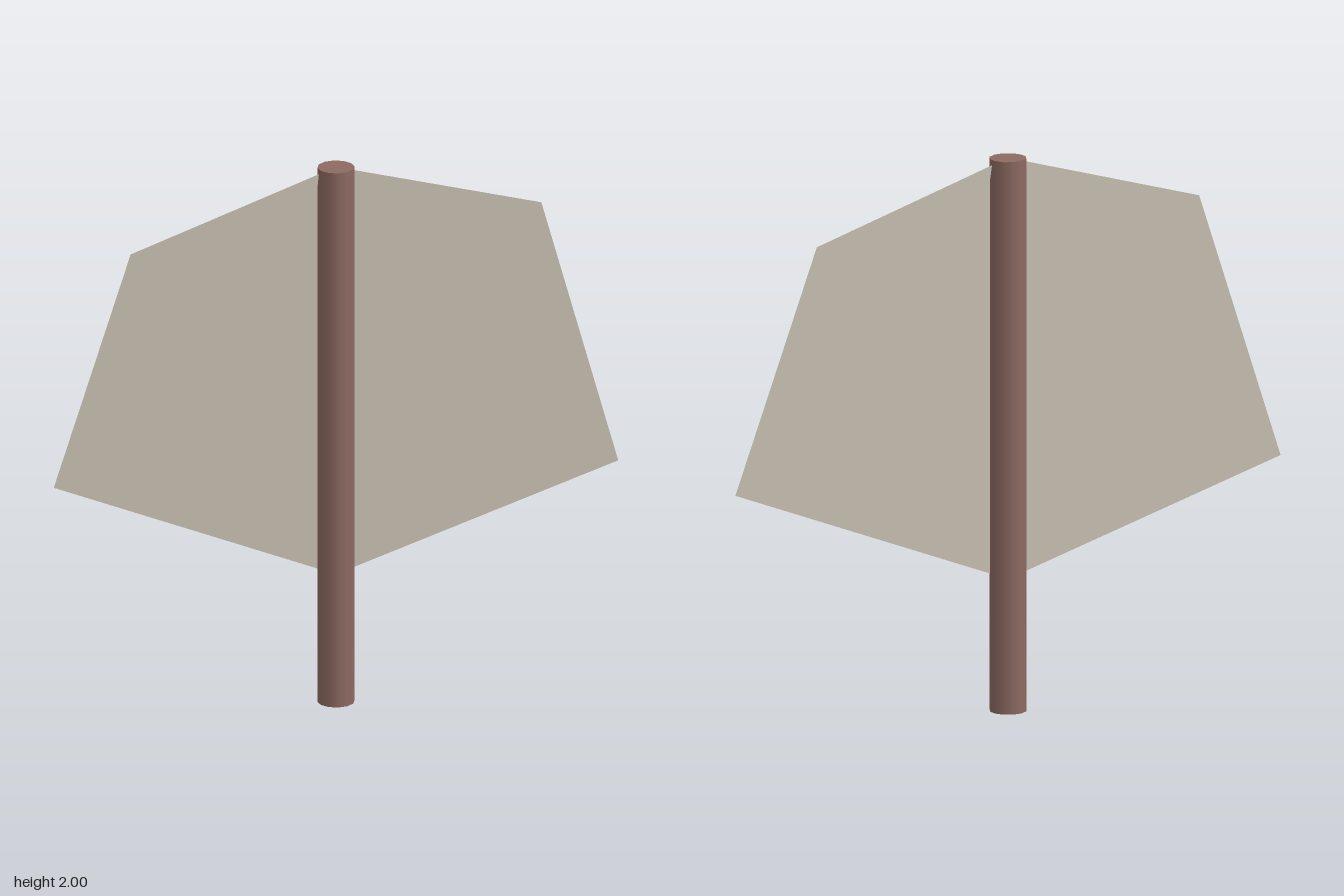
import * as THREE from 'three';

const barkBrown = new THREE.MeshStandardMaterial({ color: 0x8d6a61 });
const sheetBeige = new THREE.MeshStandardMaterial({ color: 0xcfc6b7, side: THREE.DoubleSide });

// Thin four-cornered sheet: flat lower half, upper outer corner folded back
function makeSheet() {
  const geometry = new THREE.BufferGeometry();
  const corners = [
    0, 2, 0,
    0, 0.475, 0,
    1, 0.85, 0,
    0.75, 1.77, -0.16,
  ];
  geometry.setAttribute('position', new THREE.Float32BufferAttribute(corners, 3));
  // Even shading across the fold
  geometry.setAttribute('normal', new THREE.Float32BufferAttribute([0, 0, 1, 0, 0, 1, 0, 0, 1, 0, 0, 1], 3));
  geometry.setIndex([0, 1, 2, 0, 2, 3]);
  return geometry;
}

export function createModel() {
  const model = new THREE.Group();
  model.name = 'postWithSheets';

  // Upright round post
  const post = new THREE.Mesh(new THREE.CylinderGeometry(0.066, 0.066, 2, 12), barkBrown);
  post.name = 'post';
  post.position.y = 1;
  model.add(post);

  // Two sheets, half a turn apart
  const sheet = makeSheet();
  ['leftSheet', 'rightSheet'].forEach((name, i) => {
    const mesh = new THREE.Mesh(sheet, sheetBeige);
    mesh.name = name;
    mesh.rotation.y = i * Math.PI;
    model.add(mesh);
  });

  return model;
}
